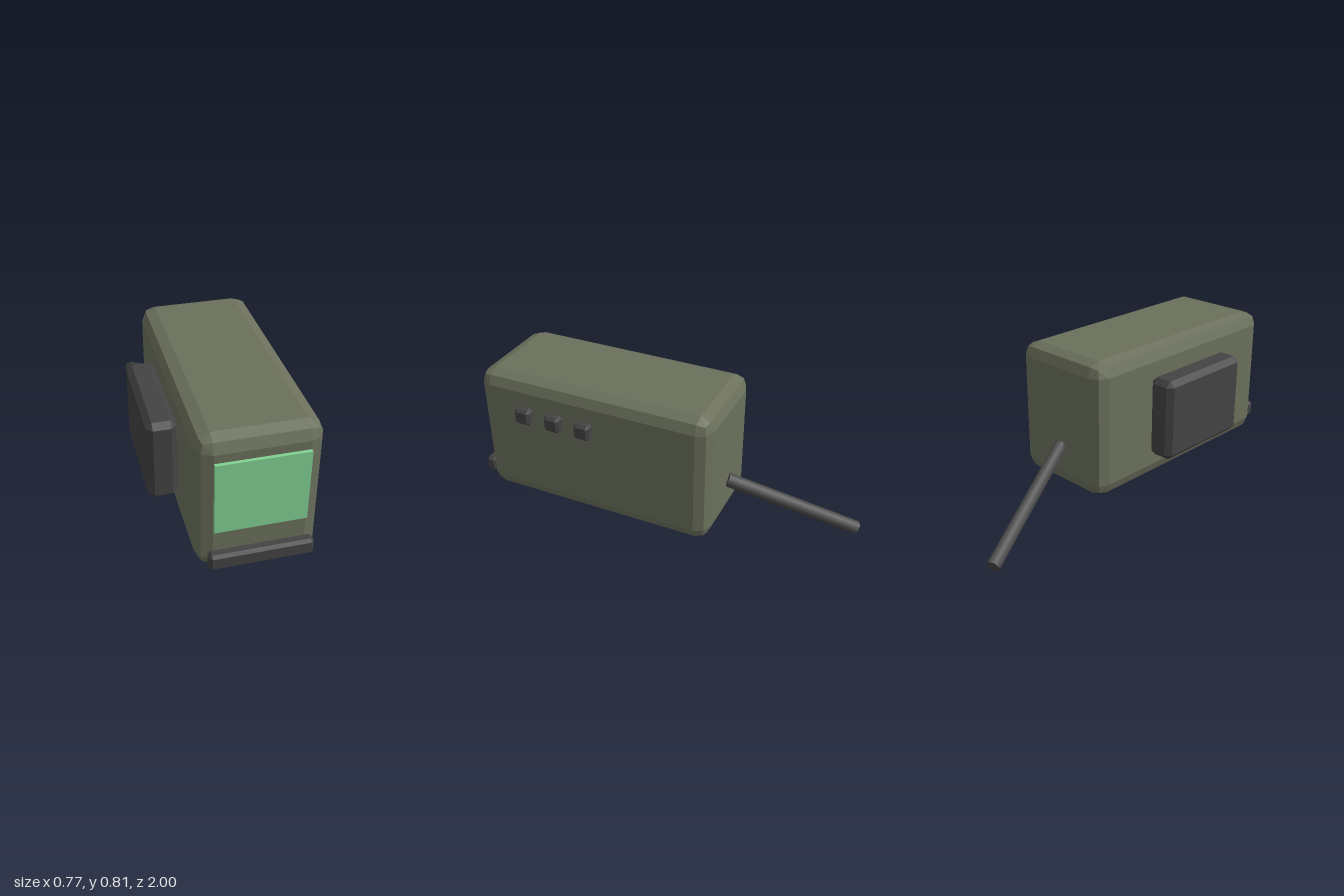
import * as THREE from 'three';
import { ConvexGeometry } from 'three/addons/geometries/ConvexGeometry.js';

const olive = new THREE.MeshStandardMaterial({ color: 0x6b705c });
olive.name = 'olive casing';
const charcoal = new THREE.MeshStandardMaterial({ color: 0x434344 });
charcoal.name = 'charcoal trim';
const green = new THREE.MeshStandardMaterial({ color: 0x80d091 });
green.name = 'green screen';

// Flat-faced box between two corners; edges bevelled by r in one or two steps
function bevelBox(name, min, max, r, steps, material) {
  const lo = new THREE.Vector3(...min), hi = new THREE.Vector3(...max);
  const half = hi.clone().sub(lo).multiplyScalar(0.5);
  const core = half.clone().subScalar(r);
  const a = Math.SQRT1_2, c = 1 / Math.sqrt(3);
  const dirs = [[1, 0, 0], [0, 1, 0], [0, 0, 1]];
  if (steps === 2) dirs.push([a, a, 0], [a, 0, a], [0, a, a], [c, c, c]);
  const points = [];
  for (const sx of [-1, 1]) for (const sy of [-1, 1]) for (const sz of [-1, 1])
    for (const d of dirs)
      points.push(new THREE.Vector3(
        sx * (core.x + r * d[0]), sy * (core.y + r * d[1]), sz * (core.z + r * d[2])));
  const mesh = new THREE.Mesh(new ConvexGeometry(points), material);
  mesh.position.copy(lo).add(hi).multiplyScalar(0.5);
  mesh.name = name;
  return mesh;
}

export function createModel() {
  const model = new THREE.Group();
  model.name = 'handheldDevice';

  // Main casing, side pack and front bar
  model.add(bevelBox('casing', [-0.243, 0.11, -0.338], [0.326, 0.82, 0.942], 0.071, 2, olive));
  model.add(bevelBox('sidePack', [-0.385, 0.252, 0.015], [-0.243, 0.679, 0.584], 0.028, 1, charcoal));
  model.add(bevelBox('frontBar', [-0.2, 0.152, 0.942], [0.285, 0.237, 1], 0.014, 1, charcoal));

  // Row of side buttons
  for (const z of [0.317, 0.487, 0.658])
    model.add(bevelBox('sideButton', [0.326, 0.594, z - 0.043], [0.383, 0.679, z + 0.043], 0.014, 1, charcoal));

  // Screen plate
  const screen = new THREE.Mesh(new THREE.BoxGeometry(0.425, 0.367, 0.018), green);
  screen.position.set(0.042, 0.523, 0.95);
  screen.name = 'screen';
  model.add(screen);

  // Six-sided rod slanting down and out of the back
  const start = new THREE.Vector3(0.037, 0.328, -0.335);
  const end = new THREE.Vector3(-0.217, 0.036, -0.985);
  const rodShape = new THREE.CylinderGeometry(0.037, 0.037, start.distanceTo(end), 6, 1, false, Math.PI / 2);
  rodShape.rotateX(Math.PI / 2);
  const rod = new THREE.Mesh(rodShape, charcoal);
  rod.position.copy(start).add(end).multiplyScalar(0.5);
  rod.lookAt(end);
  rod.name = 'rearRod';
  model.add(rod);

  return model;
}
